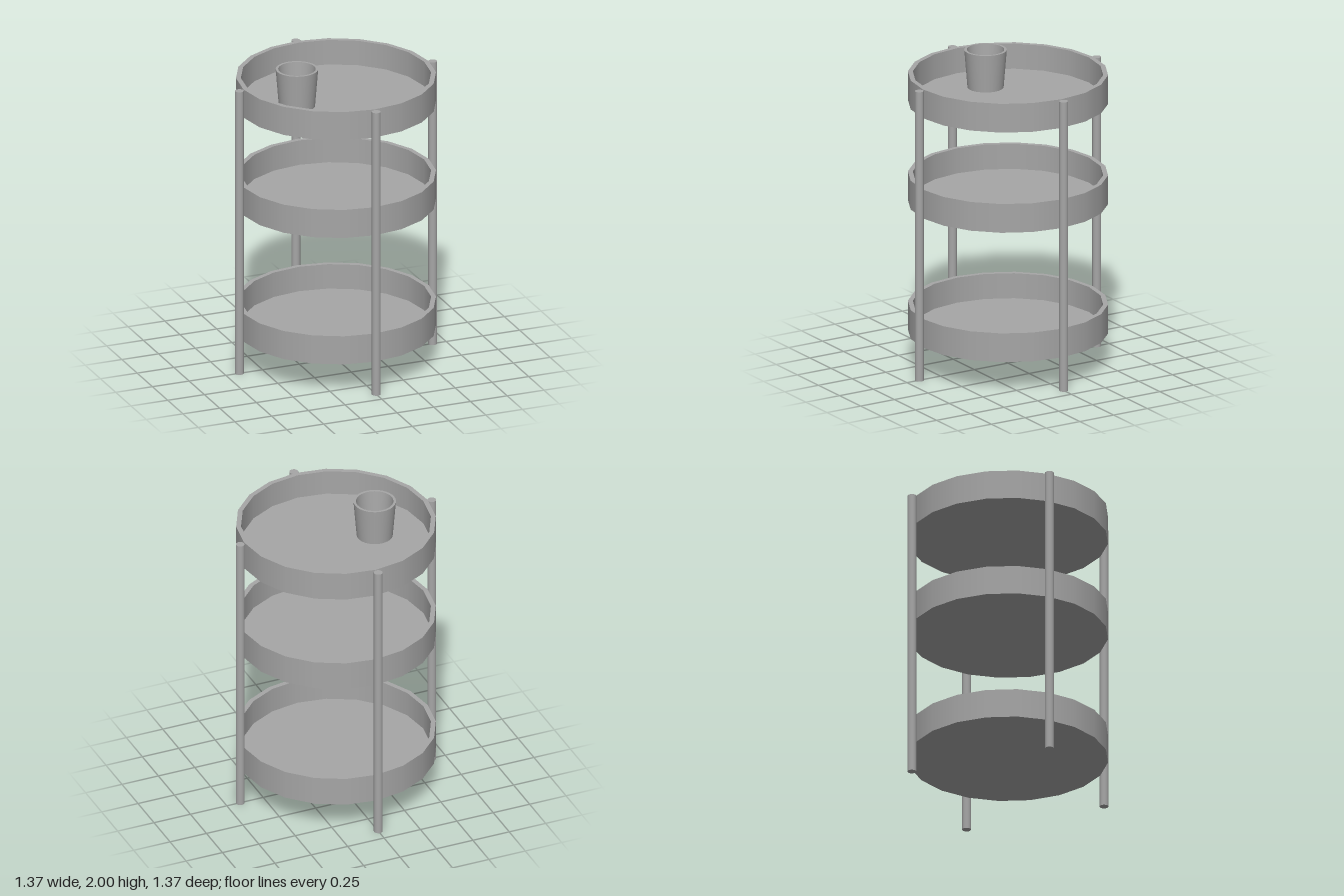
import * as THREE from 'three';
import { mergeGeometries } from 'three/addons/utils/BufferGeometryUtils.js';

// Open vessel: each profile segment is turned separately, so corners stay sharp and walls smooth
function vessel(bottomRadius, topRadius, wall, height, base, sides) {
  const profile = [
    [0, 0], [bottomRadius, 0], [topRadius, height],
    [topRadius - wall, height], [bottomRadius - wall, base], [0, base],
  ].map(([x, y]) => new THREE.Vector2(x, y));
  const bands = [];
  for (let i = 0; i < profile.length - 1; i++) {
    bands.push(new THREE.LatheGeometry([profile[i], profile[i + 1]], sides));
  }
  return mergeGeometries(bands);
}

export function createModel() {
  const group = new THREE.Group();
  group.name = 'roundTrolley';
  const grey = new THREE.MeshStandardMaterial({ color: 0xa6a6a6 });
  grey.name = 'grey';

  const add = (name, geometry, x, y, z) => {
    const mesh = new THREE.Mesh(geometry, grey);
    mesh.name = name;
    mesh.position.set(x, y, z);
    group.add(mesh);
  };

  // Three twenty-sided trays
  const tray = vessel(0.631, 0.631, 0.031, 0.19, 0.025, 20);
  add('lowerTray', tray, 0, 0.21, 0);
  add('middleTray', tray, 0, 1.065, 0);
  add('upperTray', tray, 0, 1.727, 0);

  // Four round legs against the tray rims
  const legHeight = 1.912;
  const leg = new THREE.CylinderGeometry(0.028, 0.028, legHeight, 20);
  const legRing = 0.658;
  add('leftLeg', leg, legRing, legHeight / 2, 0);
  add('rightLeg', leg, -legRing, legHeight / 2, 0);
  add('frontLeg', leg, 0, legHeight / 2, legRing);
  add('backLeg', leg, 0, legHeight / 2, -legRing);

  // Tapered cup standing on the upper tray
  add('cup', vessel(0.114, 0.134, 0.016, 0.248, 0.016, 32), -0.266, 1.752, 0);

  return group;
}
